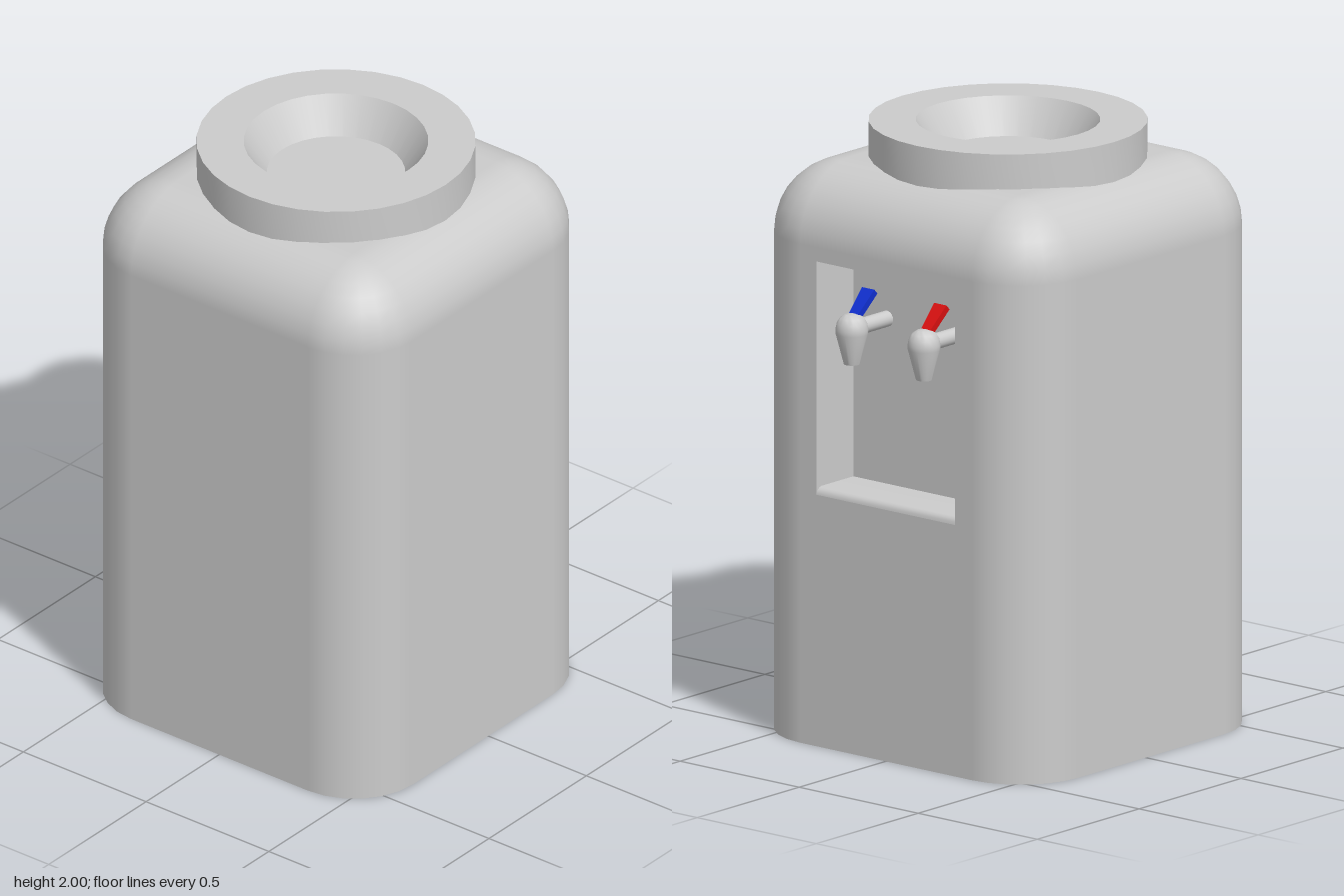
import * as THREE from 'three';
import { toCreasedNormals } from 'three/addons/utils/BufferGeometryUtils.js';

const HALF = 0.6, R = 0.24, CORE = HALF - R, SHOULDER = 1.645;
const REC = { half: 0.29, top: 1.6, floor: 0.855, lip: 0.83, back: 0.42 };

const grey = new THREE.MeshStandardMaterial({ color: 0xcccccc });
const greyDouble = new THREE.MeshStandardMaterial({ color: 0xcccccc, side: THREE.DoubleSide });
const blue = new THREE.MeshStandardMaterial({ color: 0x1030d0 });
const red = new THREE.MeshStandardMaterial({ color: 0xd81010 });

function add(parent, name, geometry, material = grey) {
  const mesh = new THREE.Mesh(geometry, material);
  mesh.name = name;
  parent.add(mesh);
  return mesh;
}

const lathe = (pts, segments) =>
  toCreasedNormals(new THREE.LatheGeometry(pts.map(([x, y]) => new THREE.Vector2(x, y)), segments), 0.6);

// Rounded-square outline: four quarter arcs, starting at the +x, +z corner
function outline(radius) {
  const pts = [], n = 6;
  [[1, 1], [-1, 1], [-1, -1], [1, -1]].forEach(([sx, sz], k) => {
    for (let i = 0; i <= n; i++) {
      const a = (k + i / n) * Math.PI / 2;
      const cx = Math.cos(a), cz = Math.sin(a);
      pts.push({ x: sx * CORE + radius * cx, z: sz * CORE + radius * cz, cx, cz });
    }
  });
  return pts;
}

// Lofted walls and rounded shoulder; the flat +x wall is left open for the recess panel
function shellGeometry() {
  const pos = [], nor = [], idx = [], steps = 8;
  const rings = [{ y: 0, phi: 0 }];
  for (let j = 0; j <= steps; j++) {
    const phi = j / steps * Math.PI / 2;
    rings.push({ y: SHOULDER + R * Math.sin(phi), phi });
  }
  let count = 0;
  for (const { y, phi } of rings) {
    const c = Math.cos(phi), pts = outline(R * c);
    count = pts.length;
    for (const p of pts) {
      pos.push(p.x, y, p.z);
      nor.push(p.cx * c, Math.sin(phi), p.cz * c);
    }
  }
  for (let j = 0; j < rings.length - 1; j++) {
    for (let i = 0; i < count; i++) {
      if (j === 0 && i === count - 1) continue;
      const a = j * count + i, b = j * count + (i + 1) % count;
      idx.push(a, a + count, b, b, a + count, b + count);
    }
  }
  const g = new THREE.BufferGeometry();
  g.setAttribute('position', new THREE.Float32BufferAttribute(pos, 3));
  g.setAttribute('normal', new THREE.Float32BufferAttribute(nor, 3));
  g.setIndex(idx);
  return g;
}

function buildBody(parent) {
  add(parent, 'bodyShell', shellGeometry());

  const top = new THREE.PlaneGeometry(2 * CORE, 2 * CORE);
  add(parent, 'bodyTop', top.rotateX(-Math.PI / 2).translate(0, SHOULDER + R, 0));

  const base = new THREE.Shape(outline(R).map(p => new THREE.Vector2(p.x, p.z)));
  add(parent, 'bodyBase', new THREE.ShapeGeometry(base).rotateX(Math.PI / 2));

  // Flat wall with the recess opening
  const rect = (w, y0, y1) => [[-w, y0], [w, y0], [w, y1], [-w, y1]].map(p => new THREE.Vector2(...p));
  const panel = new THREE.Shape(rect(CORE, 0, SHOULDER));
  panel.holes.push(new THREE.Path(rect(REC.half, REC.lip, REC.top)));
  add(parent, 'tapPanel', new THREE.ShapeGeometry(panel).rotateY(Math.PI / 2).translate(HALF, 0, 0));
}

// Ceiling, back, floor and rounded lip from one profile, plus two side walls
function buildRecess(parent) {
  const profile = [[HALF, REC.top], [REC.back, REC.top], [REC.back, REC.floor]];
  const lip = REC.floor - REC.lip;
  for (let i = 0; i <= 4; i++) {
    const a = i / 4 * Math.PI / 2;
    profile.push([HALF - lip + lip * Math.sin(a), REC.lip + lip * Math.cos(a)]);
  }
  const pos = [], h = REC.half;
  for (let i = 0; i < profile.length - 1; i++) {
    const p = profile[i], q = profile[i + 1];
    pos.push(...p, -h, ...p, h, ...q, h, ...p, -h, ...q, h, ...q, -h);
  }
  const strip = new THREE.BufferGeometry();
  strip.setAttribute('position', new THREE.Float32BufferAttribute(pos, 3));
  strip.computeVertexNormals();
  add(parent, 'recessLining', toCreasedNormals(strip, 0.6), greyDouble);

  const side = new THREE.Shape(profile.map(p => new THREE.Vector2(...p)));
  for (const s of [-1, 1]) {
    add(parent, 'recessSide', new THREE.ShapeGeometry(side).translate(0, 0, s * h), greyDouble);
  }
}

function buildTap(z, color) {
  const tap = new THREE.Group();
  tap.name = 'tap';
  tap.position.set(0.592, 0, z);

  add(tap, 'spout', lathe([
    [0, 1.285], [0.026, 1.285], [0.052, 1.385], [0.053, 1.4], [0.049, 1.42],
    [0.039, 1.437], [0.022, 1.448], [0, 1.451],
  ], 24));

  const reach = 0.592 - REC.back;
  const pipe = new THREE.CylinderGeometry(0.026, 0.026, reach, 20);
  add(tap, 'pipe', pipe.rotateZ(Math.PI / 2).translate(-reach / 2, 1.4, 0));

  // Tapered lever leaning back into the recess
  const plate = new THREE.Shape(
    [[-0.018, 0], [0.018, 0], [0.026, 0.115], [-0.026, 0.115]].map(p => new THREE.Vector2(...p)));
  const lever = new THREE.ExtrudeGeometry(plate, { depth: 0.022, bevelEnabled: false });
  lever.translate(0, 0, -0.011).rotateY(Math.PI / 2);
  const mesh = add(tap, 'lever', lever, color);
  mesh.position.set(-0.005, 1.43, 0);
  mesh.rotation.z = 0.8;
  return tap;
}

export function createModel() {
  const model = new THREE.Group();
  model.name = 'waterDispenser';
  const unit = new THREE.Group();
  unit.name = 'dispenser';
  unit.position.x = -0.025;
  model.add(unit);

  buildBody(unit);
  buildRecess(unit);

  // Collar with the funnel that seats a bottle
  add(unit, 'collar', lathe([
    [0.446, 1.84], [0.446, 2], [0.295, 2], [0.102, 1.7], [0, 1.7],
  ], 32));

  unit.add(buildTap(0.149, blue), buildTap(-0.154, red));
  return model;
}
